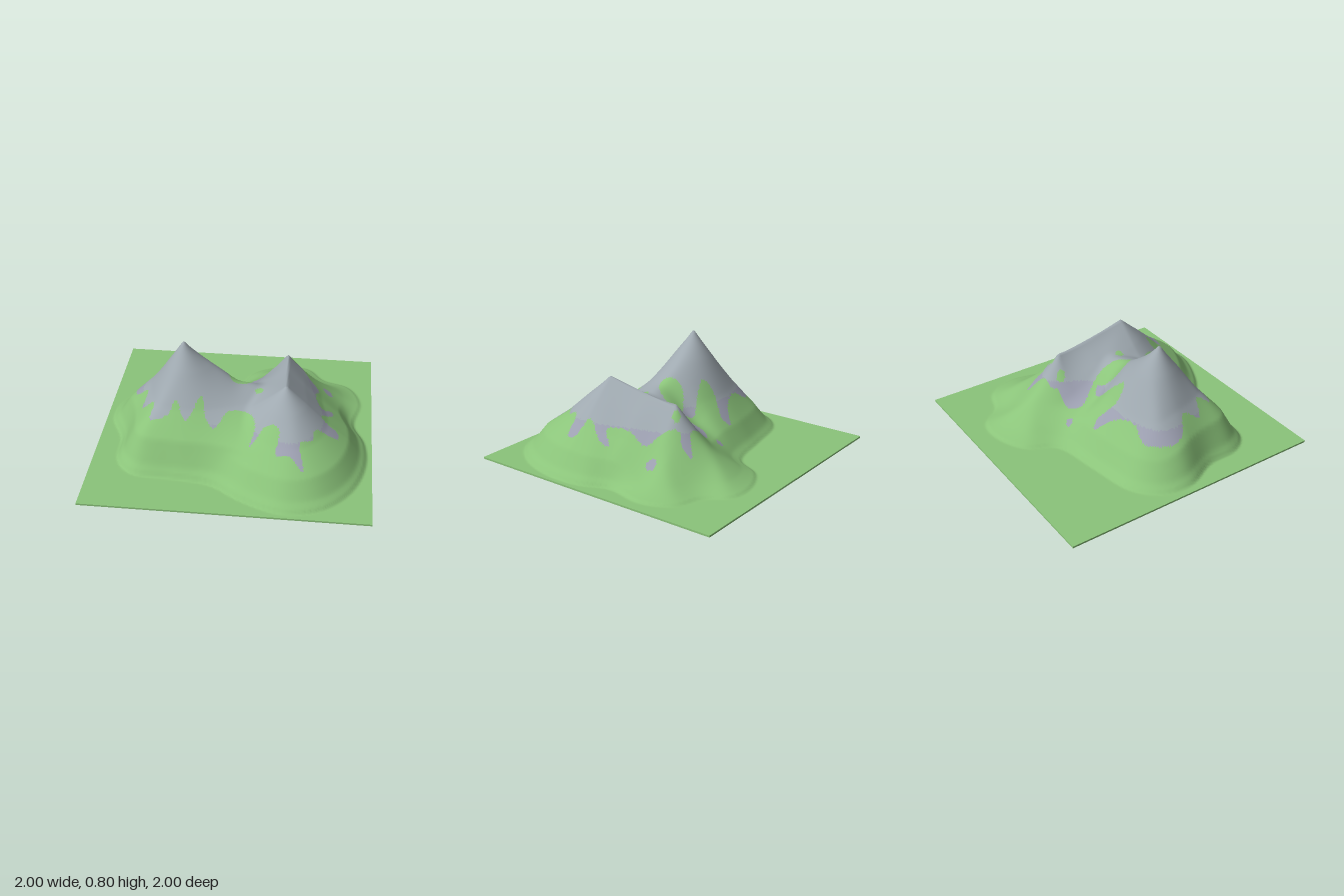
import * as THREE from 'three';

const N = 160;            // grid cells per side
const PLATE = 0.015;      // thickness of the ground plate
const W = N + 1;

// closed smooth outline through [x, z] pairs
function outline(flat, samples) {
  const pts = [];
  for (let i = 0; i < flat.length; i += 2) pts.push(new THREE.Vector3(flat[i], 0, flat[i + 1]));
  return new THREE.CatmullRomCurve3(pts, true, 'centripetal').getPoints(samples);
}

function inside(poly, x, z) {
  let hit = false;
  for (let i = 0, j = poly.length - 1; i < poly.length; j = i++) {
    const a = poly[i], b = poly[j];
    if ((a.z > z) !== (b.z > z) && x < ((b.x - a.x) * (z - a.z)) / (b.z - a.z) + a.x) hit = !hit;
  }
  return hit;
}

// foot of the mountains
const foot = outline([
  -0.95, 0, -0.92, -0.22, -0.76, -0.38, -0.4, -0.46, -0.06, -0.54, 0.06, -0.74, 0.3, -0.85,
  0.5, -0.83, 0.62, -0.68, 0.82, -0.6, 0.92, -0.38, 0.87, -0.08, 0.95, 0.12, 0.96, 0.4,
  0.86, 0.7, 0.66, 0.91, 0.4, 0.97, 0.1, 0.86, -0.12, 0.72, -0.4, 0.68, -0.7, 0.65,
  -0.82, 0.5, -0.84, 0.25,
], 220);

// ragged edge of the bare rock
const rockLine = outline([
  -0.76, -0.05, -0.64, -0.19, -0.5, -0.17, -0.31, -0.24, -0.22, -0.33, -0.19, -0.27, -0.26, -0.15,
  -0.23, -0.07, -0.12, -0.1, 0, -0.15, 0.07, -0.11, 0, -0.06, -0.06, 0, -0.03, 0.13, 0.06, 0.12,
  0.13, 0, 0.1, -0.13, 0.04, -0.26, 0.09, -0.34, 0.22, -0.35, 0.25, -0.38, 0.38, -0.4,
  0.47, -0.48, 0.47, -0.39, 0.43, -0.35, 0.5, -0.25, 0.59, -0.17, 0.57, -0.02, 0.62, 0.14,
  0.7, 0.06, 0.7, 0.14, 0.62, 0.3, 0.74, 0.34, 0.74, 0.4, 0.59, 0.45, 0.57, 0.54, 0.49, 0.59,
  0.52, 0.75, 0.43, 0.68, 0.33, 0.67, 0.34, 0.53, 0.24, 0.5, 0.14, 0.59, 0.17, 0.47, 0.11, 0.35,
  -0.02, 0.35, -0.12, 0.47, -0.18, 0.43, -0.22, 0.32, -0.32, 0.45, -0.4, 0.36, -0.45, 0.42,
  -0.58, 0.43, -0.56, 0.32, -0.66, 0.27, -0.64, 0.14, -0.74, 0.06,
], 300);
// isolated spots: x, z, radius
const rockSpots = [[0.66, -0.28, 0.035], [0.01, -0.39, 0.025]];
const grassSpots = [[0.17, 0.16, 0.03], [0.26, -0.3, 0.03], [0.39, -0.29, 0.028]];
const inSpot = (spots, x, z) => spots.some(([a, b, r]) => Math.hypot(x - a, z - b) < r);
const isRock = (x, z) => inSpot(rockSpots, x, z) || (inside(rockLine, x, z) && !inSpot(grassSpots, x, z));

// distance of every grid point to the foot, softened so gullies stay rounded
function footDistances() {
  let D = new Float32Array(W * W);
  for (let j = 0; j < W; j++) for (let i = 0; i < W; i++) {
    const x = -1 + (2 * i) / N, z = -1 + (2 * j) / N;
    let best = 9;
    for (const p of foot) best = Math.min(best, Math.hypot(p.x - x, p.z - z));
    D[j * W + i] = inside(foot, x, z) ? best : -best;
  }
  for (let pass = 0; pass < 10; pass++) {
    const out = D.slice();
    for (let j = 1; j < N; j++) for (let i = 1; i < N; i++) {
      let sum = 0;
      for (let b = -1; b <= 1; b++) for (let a = -1; a <= 1; a++) sum += D[(j + b) * W + i + a];
      out[j * W + i] = sum / 9;
    }
    D = out;
  }
  return D;
}

// slope profile from summit (r = 0) to foot (r = 1)
const steps = [[0, 1], [0.25, 0.76], [0.5, 0.5], [0.76, 0.29], [0.9, 0.09], [1, 0]];
function convex(r) {
  for (let i = 1; i < steps.length; i++) {
    const [r0, h0] = steps[i - 1], [r1, h1] = steps[i];
    if (r <= r1) return h0 + ((h1 - h0) * (r - r0)) / (r1 - r0);
  }
  return 0;
}
const slope = (r, hollow) => (1 - hollow) * convex(r) + hollow * Math.pow(1 - r, 1.45);
const smax = (a, b, k) => {
  const h = Math.max(k - Math.abs(a - b), 0) / k;
  return Math.max(a, b) + (h * h * k) / 4;
};

function mountainHeight(x, z, D) {
  if (D <= 0) return PLATE;
  // tall single peak
  const dA = Math.hypot(x + 0.37, z - 0.12);
  const backA = 0.5 * THREE.MathUtils.smoothstep(-z, -0.12, 0.2);
  const a = 0.8 * slope(dA / (dA + D), backA);
  // lower peak running back as a ridge
  const t = THREE.MathUtils.clamp((z + 0.26) / 0.57, 0, 1);
  const dB = Math.hypot(x - 0.35 - 0.02 * t, z + 0.26 - 0.57 * t);
  const backB = THREE.MathUtils.smoothstep(-z, 0, 0.35);
  const b = (0.495 + 0.1 * Math.pow(t, 1.5)) * slope(dB / (dB + D), backB);
  // gully behind the saddle
  const gully = 0.05 * Math.exp(-Math.pow((x - 0.01) / 0.09, 2) - Math.pow((z + 0.12) / 0.22, 2));
  return PLATE + Math.max(0, smax(a, b, 0.03) - gully) * (D < 0.02 ? D / 0.02 : 1);
}

// grid surface with one group per colour
function sheet(heights, down, pick) {
  const pos = [], lists = [[], [], []];
  for (let j = 0; j < W; j++) for (let i = 0; i < W; i++)
    pos.push(-1 + (2 * i) / N, heights ? heights[j * W + i] : 0, -1 + (2 * j) / N);
  const tri = (a, b, c) => {
    const mid = (k) => (pos[a * 3 + k] + pos[b * 3 + k] + pos[c * 3 + k]) / 3;
    lists[pick(mid(0), mid(1), mid(2))].push(...(down ? [a, c, b] : [a, b, c]));
  };
  for (let j = 0; j < N; j++) for (let i = 0; i < N; i++) {
    const a = j * W + i, b = a + 1, c = a + W, d = c + 1;
    if ((i + j) % 2) { tri(a, c, b); tri(b, c, d); } else { tri(a, c, d); tri(a, d, b); }
  }
  const geo = new THREE.BufferGeometry();
  geo.setAttribute('position', new THREE.Float32BufferAttribute(pos, 3));
  geo.setIndex(lists.flat());
  let start = 0;
  lists.forEach((l, k) => { geo.addGroup(start, l.length, k); start += l.length; });
  geo.computeVertexNormals();
  return geo;
}

export function createModel() {
  const material = (name, color) => {
    const m = new THREE.MeshStandardMaterial({ color });
    m.name = name;
    return m;
  };
  const grass = material('grass', 0x8bc47a);
  const rock = material('rock', 0x9fa9b0);
  const rockEdge = material('rockEdge', 0x9c9fb0);
  const colours = [grass, rock, rockEdge];

  const group = new THREE.Group();
  group.name = 'mountains';
  const add = (name, geo, mat) => {
    const mesh = new THREE.Mesh(geo, mat);
    mesh.name = name;
    group.add(mesh);
    return mesh;
  };

  // mountain surface
  const heights = footDistances().map((D, k) =>
    mountainHeight(-1 + (2 * (k % W)) / N, -1 + (2 * Math.floor(k / W)) / N, D));
  add('terrain', sheet(heights, false, (x, y, z) => (isRock(x, z) ? (y < 0.34 ? 2 : 1) : 0)), colours);

  // flat underside repeating the rock patch
  add('underside', sheet(null, true, (x, y, z) => (isRock(x, z) ? 2 : 0)), colours);

  // rim of the ground plate
  add('plateRim', new THREE.BoxGeometry(2, PLATE - 0.002, 2), grass).position.y = PLATE / 2;
  return group;
}
